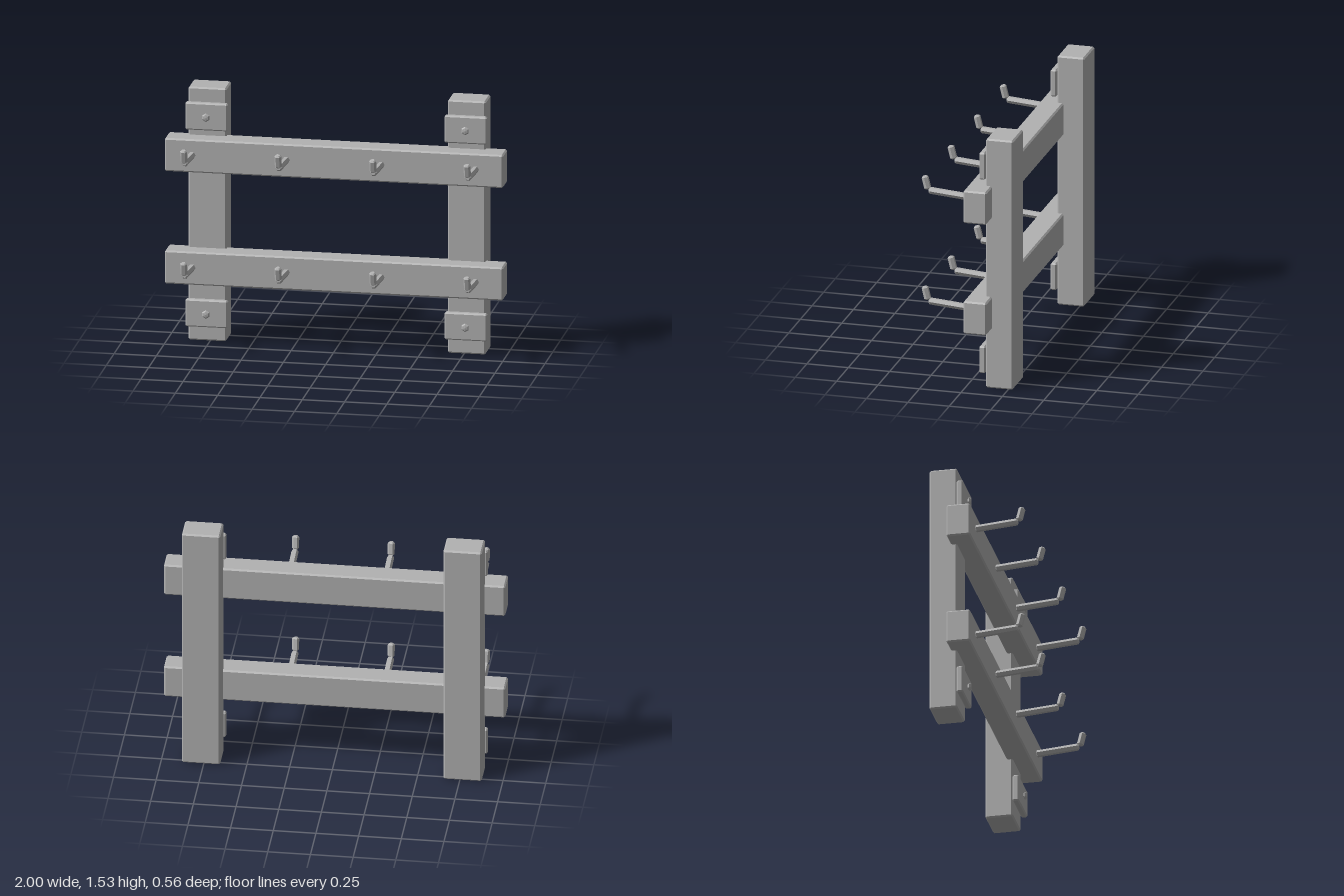
import * as THREE from 'three';
import { ConvexGeometry } from 'three/addons/geometries/ConvexGeometry.js';

// Box with flat chamfered edges
function chamferBox(w, h, d, r) {
  const pts = [];
  const [a, b, c] = [w / 2, h / 2, d / 2];
  for (const sx of [-1, 1]) for (const sy of [-1, 1]) for (const sz of [-1, 1]) {
    pts.push(
      new THREE.Vector3(sx * a, sy * (b - r), sz * (c - r)),
      new THREE.Vector3(sx * (a - r), sy * b, sz * (c - r)),
      new THREE.Vector3(sx * (a - r), sy * (b - r), sz * c));
  }
  return new ConvexGeometry(pts);
}

// Six-sided rod with bevelled ends, standing on the origin
function hexRod(length, r) {
  const e = 0.008;
  const profile = [[0, 0], [r - e, 0], [r, e], [r, length - e], [r - e, length], [0, length]]
    .map(([x, y]) => new THREE.Vector2(x, y));
  return new THREE.LatheGeometry(profile, 6, Math.PI / 2);
}

export function createModel() {
  const group = new THREE.Group();
  const grey = new THREE.MeshStandardMaterial({ color: 0xb2b2b2, flatShading: true });
  grey.name = 'grey';

  const add = (parent, name, geometry, x, y, z) => {
    const mesh = new THREE.Mesh(geometry, grey);
    mesh.name = name;
    mesh.position.set(x, y, z);
    parent.add(mesh);
    return mesh;
  };

  // Rod between two points in the side (z, y) plane
  const addRod = (parent, name, z0, y0, z1, y1, r) => {
    const rod = add(parent, name, hexRod(Math.hypot(z1 - z0, y1 - y0), r), 0, y0, z0);
    rod.rotation.x = Math.atan2(z1 - z0, y1 - y0);
  };

  const post = chamferBox(0.225, 1.53, 0.164, 0.009);
  const rail = chamferBox(2, 0.2, 0.141, 0.009);
  const plate = chamferBox(0.25, 0.165, 0.038, 0.008);
  const bolt = new THREE.SphereGeometry(0.026, 6, 4);
  bolt.rotateX(Math.PI / 2).rotateZ(Math.PI / 2).scale(0.95, 1, 0.42);

  // Posts with a mounting plate and bolt at each end
  for (const x of [-0.766, 0.766]) {
    add(group, 'post', post, x, 0.765, -0.198);
    for (const y of [0.173, 1.363]) {
      add(group, 'mountingPlate', plate, x, y, -0.097);
      add(group, 'bolt', bolt, x, y, -0.065);
    }
  }

  // Rails, each with four hooks
  for (const y of [0.462, 1.142]) {
    add(group, 'rail', rail, 0, y, -0.083);
    for (const x of [-0.837, -0.28, 0.28, 0.837]) {
      const hook = new THREE.Group();
      hook.name = 'hook';
      hook.position.set(x, y, 0);
      addRod(hook, 'hookStem', -0.016, 0.006, 0.238, 0.027, 0.021);
      addRod(hook, 'hookTip', 0.244, 0.034, 0.264, 0.113, 0.021);
      group.add(hook);
    }
  }
  return group;
}
